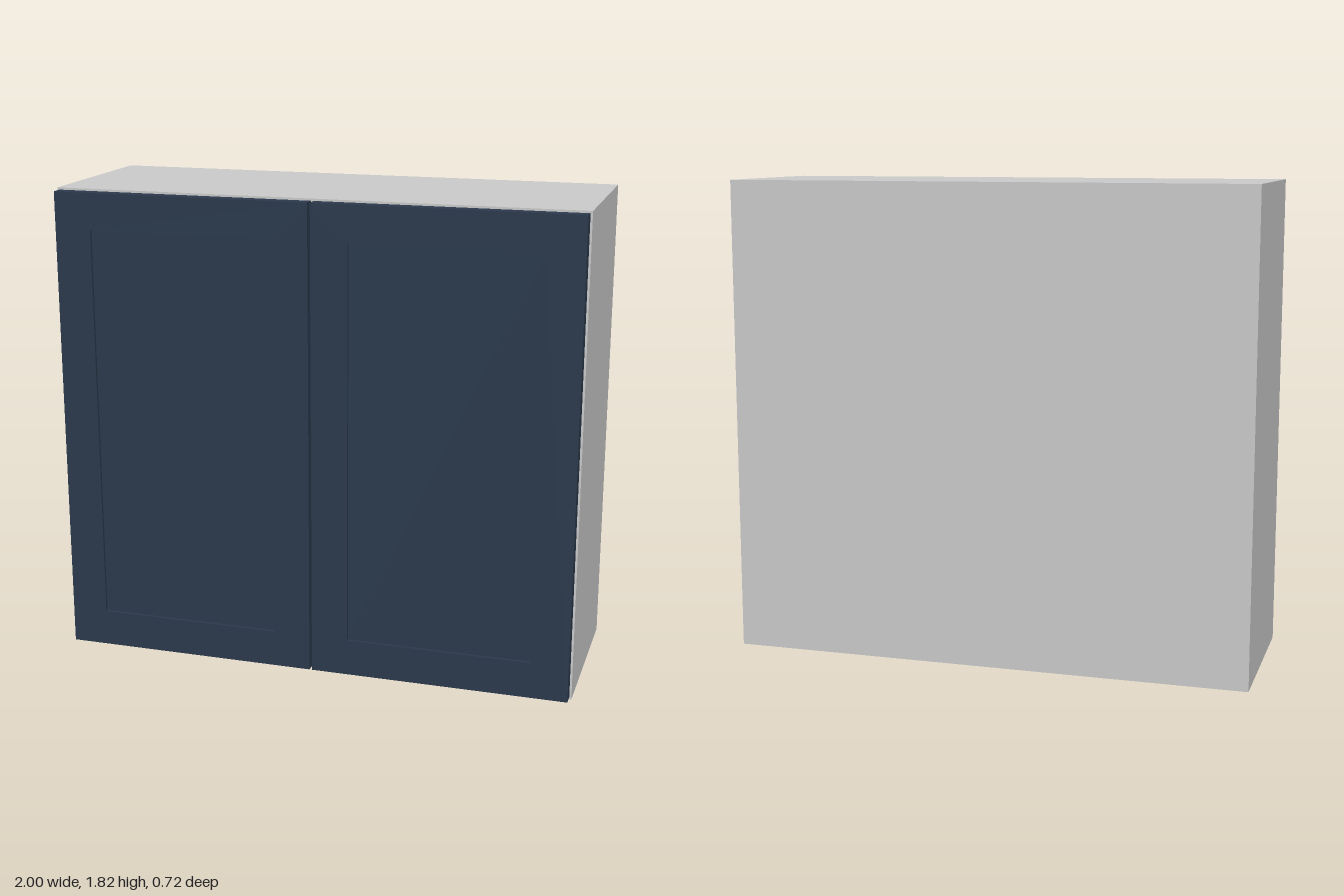
import * as THREE from 'three';

const H = 1.82, BACK = -0.362, FACE = 0.315, FRONT = 0.362, T = 0.04;
const RECESS = 0.012;

export function createModel() {
  const model = new THREE.Group();
  const grey = new THREE.MeshStandardMaterial({ color: 0xcccccc });
  const navy = new THREE.MeshStandardMaterial({ color: 0x2b3a4d });

  // Box given by its limits on each axis
  function panel(name, [x0, x1], [y0, y1], [z0, z1], material = grey, parent = model) {
    const mesh = new THREE.Mesh(new THREE.BoxGeometry(x1 - x0, y1 - y0, z1 - z0), material);
    mesh.position.set((x0 + x1) / 2, (y0 + y1) / 2, (z0 + z1) / 2);
    mesh.name = name;
    parent.add(mesh);
  }

  // Carcass: sides, top and bottom boards, back and one middle shelf
  const inner = [-1 + T, 1 - T], depth = [BACK, FACE];
  panel('leftSide', [1 - T, 1], [0, H], depth);
  panel('rightSide', [-1, -1 + T], [0, H], depth);
  panel('topBoard', inner, [H - T, H], depth);
  panel('bottomBoard', inner, [0, T], depth);
  panel('backPanel', inner, [T, H - T], [BACK, BACK + 0.02]);
  panel('shelf', inner, [0.89, 0.93], [BACK + 0.02, FACE - 0.02]);

  // Framed door with a slightly recessed centre panel
  const x0 = 0.005, x1 = 0.992, y0 = 0.008, y1 = H - 0.008, rail = 0.14;
  const shape = rect(THREE.Shape, x0, x1, y0, y1);
  shape.holes.push(rect(THREE.Path, x0 + rail, x1 - rail, y0 + rail, y1 - rail));
  const frameGeometry = new THREE.ExtrudeGeometry(shape, { depth: FRONT - FACE, bevelEnabled: false });

  for (const side of [1, -1]) {
    const door = new THREE.Group();
    door.name = side > 0 ? 'leftDoor' : 'rightDoor';
    const frame = new THREE.Mesh(frameGeometry, navy);
    frame.name = 'doorFrame';
    frame.position.set(side > 0 ? 0 : -(x0 + x1), 0, FACE);
    door.add(frame);
    const px = [x0 + rail, x1 - rail];
    panel('doorPanel', side > 0 ? px : [-px[1], -px[0]], [y0 + rail, y1 - rail],
      [FACE, FRONT - RECESS], navy, door);
    model.add(door);
  }
  return model;
}

// Rectangular outline as a shape or hole
function rect(Type, x0, x1, y0, y1) {
  return new Type([[x0, y0], [x1, y0], [x1, y1], [x0, y1]].map(([x, y]) => new THREE.Vector2(x, y)));
}
